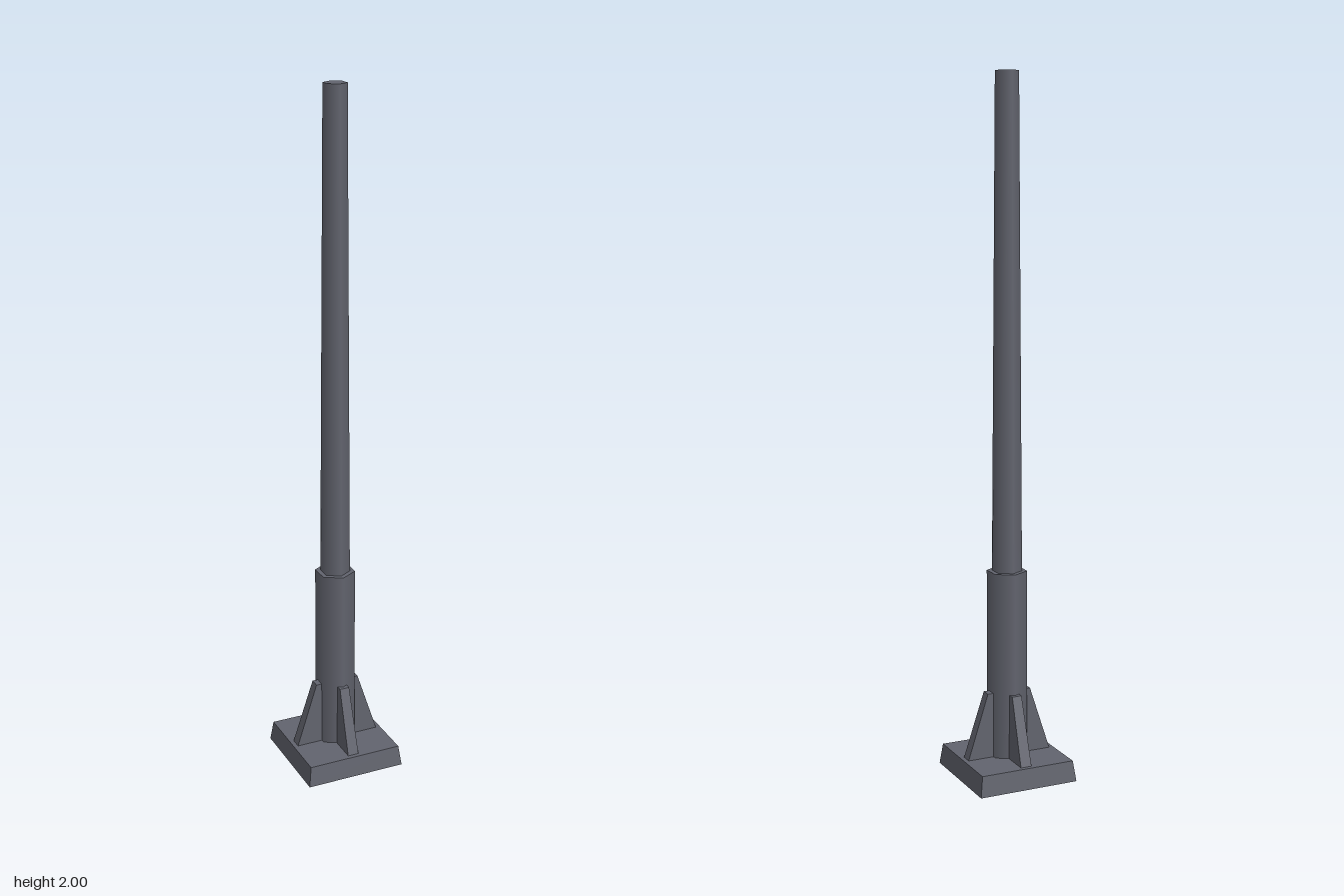
import * as THREE from 'three';

const steel = new THREE.MeshStandardMaterial({ color: 0x62646e, side: THREE.DoubleSide });
steel.name = 'dark steel';

const BASE_TOP = 0.06;
const SLEEVE_TOP = 0.605;

function add(parent, name, geometry) {
  const mesh = new THREE.Mesh(geometry, steel);
  mesh.name = name;
  parent.add(mesh);
  return mesh;
}

// Six-sided tube standing between two heights, corners pointing along z
function hexTube(rTop, rBottom, y0, y1) {
  return new THREE.CylinderGeometry(rTop, rBottom, y1 - y0, 6, 1, true)
    .translate(0, (y0 + y1) / 2, 0);
}

// Flat six-sided lid facing up
function hexLid(r, y) {
  return new THREE.CircleGeometry(r, 6).rotateX(-Math.PI / 2).rotateY(Math.PI / 2).translate(0, y, 0);
}

// Square foot: a tapered shell, hollow underneath
function addBase(group) {
  const bottom = 0.15, top = 0.142;
  const walls = new THREE.CylinderGeometry(top * Math.SQRT2, bottom * Math.SQRT2, BASE_TOP, 4, 1, true)
    .rotateY(Math.PI / 4).translate(0, BASE_TOP / 2, 0).toNonIndexed();
  walls.computeVertexNormals();
  add(group, 'baseWalls', walls);
  add(group, 'baseTop', new THREE.PlaneGeometry(top * 2, top * 2)
    .rotateX(-Math.PI / 2).translate(0, BASE_TOP, 0));
}

// Brace plate running out along +z: wide at the foot, narrow at the top
function braceGeometry() {
  const box = new THREE.BoxGeometry(1, 1, 1).toNonIndexed();
  const p = box.attributes.position;
  for (let i = 0; i < p.count; i++) {
    const upper = p.getY(i) > 0;
    const outer = upper ? 0.067 : 0.129;
    const half = upper ? 0.0145 : 0.0165;
    p.setXYZ(i, Math.sign(p.getX(i)) * half, upper ? 0.25 : BASE_TOP, p.getZ(i) > 0 ? outer : 0.04);
  }
  box.computeVertexNormals();
  return box;
}

export function createModel() {
  const group = new THREE.Group();
  group.name = 'post';

  addBase(group);

  // Thick lower sleeve
  add(group, 'sleeve', hexTube(0.058, 0.058, BASE_TOP, SLEEVE_TOP));
  add(group, 'sleeveLid', hexLid(0.058, SLEEVE_TOP));

  // Slim tapering pole
  add(group, 'pole', hexTube(0.033, 0.043, SLEEVE_TOP, 2));
  add(group, 'poleLid', hexLid(0.033, 2));

  // Four braces around the sleeve
  const brace = braceGeometry();
  ['front', 'left', 'back', 'right'].forEach((side, i) => {
    add(group, side + 'Brace', brace).rotation.y = i * Math.PI / 2;
  });

  return group;
}
